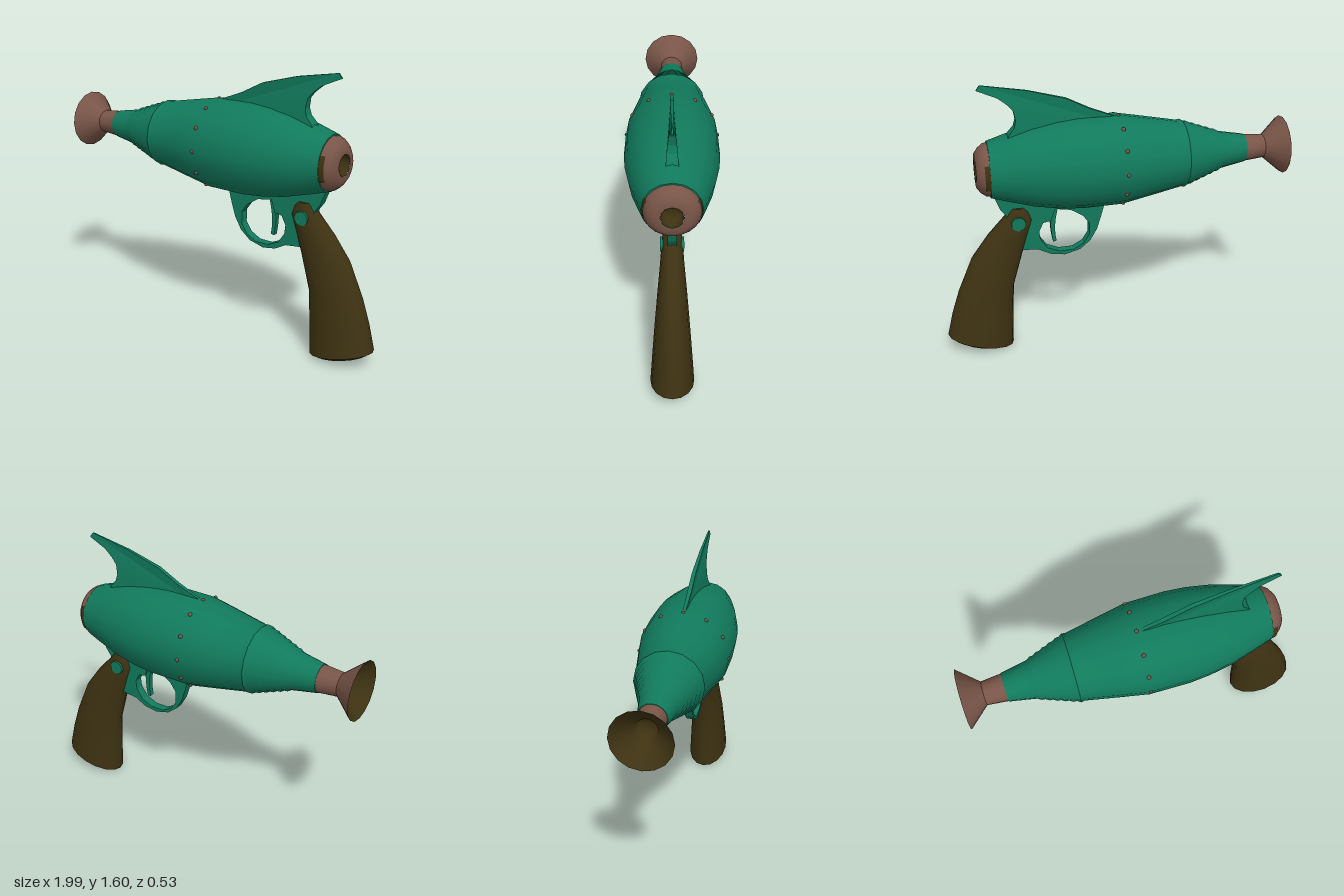
import * as THREE from 'three';
import { toCreasedNormals } from 'three/addons/utils/BufferGeometryUtils.js';

const AXIS_Y = 1.135;
const v2 = (pts) => pts.map(([x, y]) => new THREE.Vector2(x, y));

// Surface of revolution around the barrel axis; profile points are [x, radius]
function turned(profile, segments = 16, start = 0, length = Math.PI * 2) {
  const geo = new THREE.LatheGeometry(v2(profile.map(([x, r]) => [r, x])), segments, start, length);
  geo.rotateZ(-Math.PI / 2);
  geo.translate(0, AXIS_Y, 0);
  return geo;
}

// Flat plate centred on z = 0
function plate(shape, depth) {
  const geo = new THREE.ExtrudeGeometry(shape, { depth, bevelEnabled: false, curveSegments: 10 });
  geo.translate(0, 0, -depth / 2);
  return geo;
}

// Loft of elliptical rings: [leftX, leftY, rightX, rightY, halfWidth], bottom to top
function loftGrip(sections, sides = 16) {
  const pos = [], index = [];
  for (const [lx, ly, rx, ry, w] of sections) {
    for (let i = 0; i < sides; i++) {
      const a = (i / sides) * Math.PI * 2, c = Math.cos(a) / 2;
      pos.push((lx + rx) / 2 + c * (rx - lx), (ly + ry) / 2 + c * (ry - ly), Math.sin(a) * w);
    }
  }
  for (let s = 0; s < sections.length - 1; s++) {
    for (let i = 0; i < sides; i++) {
      const a = s * sides + i, b = s * sides + (i + 1) % sides;
      index.push(a, a + sides, b, b, a + sides, b + sides);
    }
  }
  // Bottom and top caps
  const top = (sections.length - 1) * sides;
  for (let i = 1; i < sides - 1; i++) {
    index.push(0, i, i + 1, top, top + i + 1, top + i);
  }
  const geo = new THREE.BufferGeometry();
  geo.setAttribute('position', new THREE.Float32BufferAttribute(pos, 3));
  geo.setIndex(index);
  return toCreasedNormals(geo, 0.7);
}

export function createModel() {
  const group = new THREE.Group();
  const material = (name, color, side = THREE.FrontSide) => {
    const m = new THREE.MeshStandardMaterial({ color, side });
    m.name = name;
    return m;
  };
  const green = material('green enamel', 0x117a5c);
  const brown = material('copper brown', 0x795548);
  const dark = material('dark olive', 0x3e3212, THREE.DoubleSide);
  const add = (name, geo, mat) => {
    const mesh = new THREE.Mesh(geo, mat);
    mesh.name = name;
    group.add(mesh);
    return mesh;
  };

  // Spindle-shaped body with fine ribs near the nose
  const body = [[-0.77, 0.06], [-0.77, 0.08], [-0.66, 0.1]];
  for (let i = 0; i < 6; i++) {
    const x = -0.62 + i * 0.04, r = 0.108 + i * 0.0145;
    body.push([x, r], [x + 0.02, r + 0.013]);
  }
  body.push([-0.38, 0.19], [-0.2, 0.225], [-0.03, 0.257], [0.2, 0.26], [0.32, 0.25],
    [0.46, 0.226], [0.6, 0.187], [0.7, 0.157], [0.7, 0.1]);
  add('body', toCreasedNormals(turned(body), 0.7), green);

  // Flared muzzle, outside and lining
  add('muzzle', toCreasedNormals(turned([[-1, 0.167], [-0.885, 0.066], [-0.76, 0.078]]), 0.7), brown);
  add('muzzleLining', turned([[-0.84, 0.001], [-0.84, 0.045], [-0.885, 0.058], [-1, 0.165]]), dark);

  // Rear cap with a socket and two side inlays
  const cap = [[0.69, 0.15], [0.72, 0.147], [0.75, 0.125], [0.772, 0.095], [0.772, 0.06]];
  add('rearCap', toCreasedNormals(turned(cap, 20), 0.9), brown);
  add('rearSocket', turned([[0.772, 0.06], [0.715, 0.05], [0.715, 0.001]], 10), dark);
  for (const phi of [0, Math.PI]) {
    add('capInlay', turned([[0.7, 0.152], [0.722, 0.149], [0.728, 0.145]], 6, phi - 0.5, 1), dark);
  }

  // Ring of rivets around the widest part
  const rivetGeo = new THREE.SphereGeometry(0.012, 8, 6);
  for (let i = 0; i < 12; i++) {
    const a = (i / 12) * Math.PI * 2;
    add('rivet', rivetGeo, brown)
      .position.set(-0.03, AXIS_Y + Math.sin(a) * 0.252, Math.cos(a) * 0.252);
  }

  // Swept fin, thinning towards its tip and leading edge
  const finShape = new THREE.Shape(v2([[0, 1.35], [0.6, 1.3], [0.58, 1.335], [0.55, 1.37], [0.54, 1.41],
    [0.55, 1.465], [0.58, 1.5], [0.63, 1.54], [0.74, 1.588], [0.72, 1.615], [0.47, 1.57],
    [0.26, 1.512], [0.13, 1.445], [0, 1.393]]));
  const fin = plate(finShape, 1);
  const p = fin.attributes.position;
  for (let i = 0; i < p.count; i++) {
    const taper = Math.max(0, (1.62 - p.getY(i)) / 0.3);
    const lead = Math.min(1, 0.25 + p.getX(i) * 2);
    p.setZ(i, Math.sign(p.getZ(i)) * (0.003 + 0.03 * taper * lead));
  }
  fin.computeVertexNormals();
  add('fin', fin, green);

  // Trigger guard plate with its opening
  const guard = new THREE.Shape(v2([[0.04, 0.93], [0.075, 0.8], [0.1, 0.72], [0.14, 0.65], [0.2, 0.6],
    [0.29, 0.575], [0.37, 0.587], [0.44, 0.623], [0.55, 0.635], [0.62, 0.86], [0.65, 0.9], [0.685, 0.99],
    [0.5, 1], [0.2, 0.95]]));
  guard.holes.push(new THREE.Path(v2([[0.34, 0.87], [0.25, 0.855], [0.18, 0.81], [0.145, 0.76],
    [0.145, 0.69], [0.18, 0.635], [0.24, 0.602], [0.32, 0.6], [0.39, 0.63], [0.43, 0.69],
    [0.435, 0.74], [0.41, 0.79], [0.365, 0.8]])));
  add('triggerGuard', plate(guard, 0.05), green);

  // Curved trigger
  const trigger = new THREE.Shape();
  trigger.moveTo(0.32, 0.88);
  trigger.quadraticCurveTo(0.355, 0.76, 0.335, 0.665);
  trigger.lineTo(0.355, 0.66);
  trigger.quadraticCurveTo(0.375, 0.76, 0.365, 0.88);
  add('trigger', plate(trigger, 0.03), green);

  // Curved grip, widening to a tilted foot
  add('grip', loftGrip([[0.64, 0.015, 0.95, 0.085, 0.1], [0.61, 0.02, 0.99, 0.115, 0.12],
    [0.602, 0.22, 0.955, 0.26, 0.108], [0.592, 0.4, 0.91, 0.4, 0.096], [0.535, 0.6, 0.825, 0.6, 0.078],
    [0.495, 0.73, 0.73, 0.73, 0.064], [0.465, 0.815, 0.63, 0.84, 0.055], [0.485, 0.87, 0.605, 0.878, 0.049],
    [0.51, 0.895, 0.59, 0.895, 0.04]]), dark);

  // Pin through the grip
  const pin = new THREE.CylinderGeometry(0.041, 0.041, 0.126, 14);
  pin.rotateX(Math.PI / 2);
  pin.translate(0.553, 0.812, 0);
  add('gripPin', pin, green);

  return group;
}
